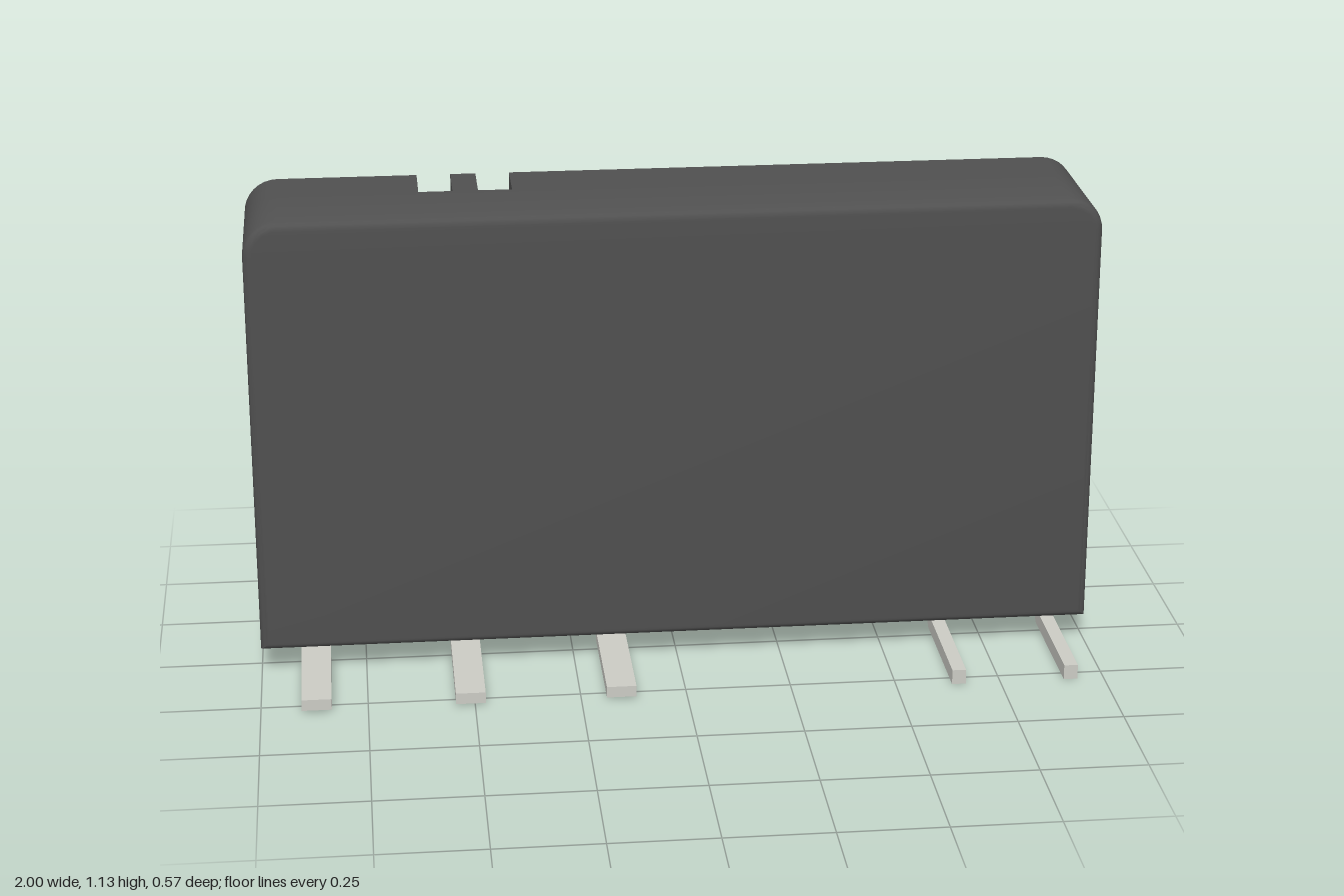
import * as THREE from 'three';
import { toCreasedNormals } from 'three/addons/utils/BufferGeometryUtils.js';

const BOTTOM = 0.065, TOP = 1.13, BACK = -0.285, FRONT = 0.07;
const CORNER = 0.08, BEVEL = 0.02;
const NOTCH_Z = -0.145, NOTCH_DEPTH = 0.15;
const NOTCHES = [[-0.45, -0.37], [-0.59, -0.51]]; // x ranges, right to left along the top

// Counter-clockwise case outline, inset by d, with the notches sunk by depth
function outline(d, depth, notched = true) {
  const pts = [];
  const w = 1 - d, top = TOP - d, r = CORNER - d;
  const arc = (cx, start) => {
    for (let i = 0; i <= 8; i++) {
      const a = start + (i / 8) * Math.PI / 2;
      pts.push(new THREE.Vector2(cx + r * Math.cos(a), top - r + r * Math.sin(a)));
    }
  };
  pts.push(new THREE.Vector2(-w, BOTTOM + d), new THREE.Vector2(w, BOTTOM + d));
  arc(w - r, 0);
  if (notched) {
    for (const [x0, x1] of NOTCHES) {
      for (const [x, y] of [[x1, top], [x1, top - depth], [x0, top - depth], [x0, top]]) {
        pts.push(new THREE.Vector2(x, y));
      }
    }
  }
  arc(-w + r, Math.PI / 2);
  return pts;
}

// Case shell: sections lofted from back to front, then capped
function caseGeometry() {
  const sections = [
    { z: BACK, pts: outline(0, NOTCH_DEPTH) },
    { z: NOTCH_Z, pts: outline(0, 0) },
  ];
  for (let i = 0; i <= 5; i++) {
    const a = (i / 5) * Math.PI / 2;
    sections.push({
      z: FRONT - BEVEL + BEVEL * Math.sin(a),
      pts: outline(BEVEL * (1 - Math.cos(a)), 0),
    });
  }
  const pos = [];
  const tri = (a, b, c) => {
    const n = b.clone().sub(a).cross(c.clone().sub(a));
    if (n.length() > 1e-9) for (const v of [a, b, c]) pos.push(v.x, v.y, v.z);
  };
  const at = (p, z) => new THREE.Vector3(p.x, p.y, z);
  for (let s = 0; s < sections.length - 1; s++) {
    const A = sections[s], B = sections[s + 1], n = A.pts.length;
    for (let i = 0; i < n; i++) {
      const j = (i + 1) % n;
      const a = at(A.pts[i], A.z), b = at(A.pts[j], A.z);
      const c = at(B.pts[j], B.z), d = at(B.pts[i], B.z);
      tri(a, b, c);
      tri(a, c, d);
    }
  }
  const cap = (pts, z, front) => {
    for (const [a, b, c] of THREE.ShapeUtils.triangulateShape(pts, [])) {
      const [p, q, r] = [a, b, c].map((k) => at(pts[k], z));
      if (front) tri(p, q, r);
      else tri(p, r, q);
    }
  };
  cap(sections[0].pts, BACK, false);
  cap(outline(BEVEL, 0, false), FRONT, true);
  const geo = new THREE.BufferGeometry();
  geo.setAttribute('position', new THREE.Float32BufferAttribute(pos, 3));
  return toCreasedNormals(geo, 0.5);
}

// Bent pin: an L profile in z and y, extruded across x
function pinGeometry(width, thick) {
  const y0 = 0.02 - thick / 2, y1 = 0.02 + thick / 2;
  const z0 = -0.037 - thick / 2, z1 = -0.037 + thick / 2, r = 0.015;
  const s = new THREE.Shape();
  s.moveTo(0.285, y0);
  s.lineTo(0.285, y1);
  s.lineTo(z1, y1);
  s.lineTo(z1, BOTTOM + 0.01);
  s.lineTo(z0, BOTTOM + 0.01);
  s.lineTo(z0, y0 + r);
  s.absarc(z0 + r, y0 + r, r, Math.PI, Math.PI * 1.5, false);
  const geo = new THREE.ExtrudeGeometry(s, { depth: width, bevelEnabled: false, curveSegments: 6 });
  geo.translate(0, 0, -width / 2);
  geo.rotateY(-Math.PI / 2); // profile x becomes z
  return toCreasedNormals(geo, 0.5);
}

export function createModel() {
  const model = new THREE.Group();
  model.name = 'relayModule';
  const dark = new THREE.MeshStandardMaterial({ color: 0x505050 });
  const metal = new THREE.MeshStandardMaterial({ color: 0xcbcbc4 });

  const shell = new THREE.Mesh(caseGeometry(), dark);
  shell.name = 'case';
  model.add(shell);

  // Three wide pins and two narrow ones
  const addPins = (name, xs, width, thick) => {
    const geo = pinGeometry(width, thick);
    xs.forEach((x, i) => {
      const pin = new THREE.Mesh(geo, metal);
      pin.name = `${name}${i + 1}`;
      pin.position.x = x;
      model.add(pin);
    });
  };
  addPins('widePin', [-0.87, -0.51, -0.155], 0.07, 0.027);
  addPins('narrowPin', [0.65, 0.92], 0.033, 0.036);
  return model;
}
